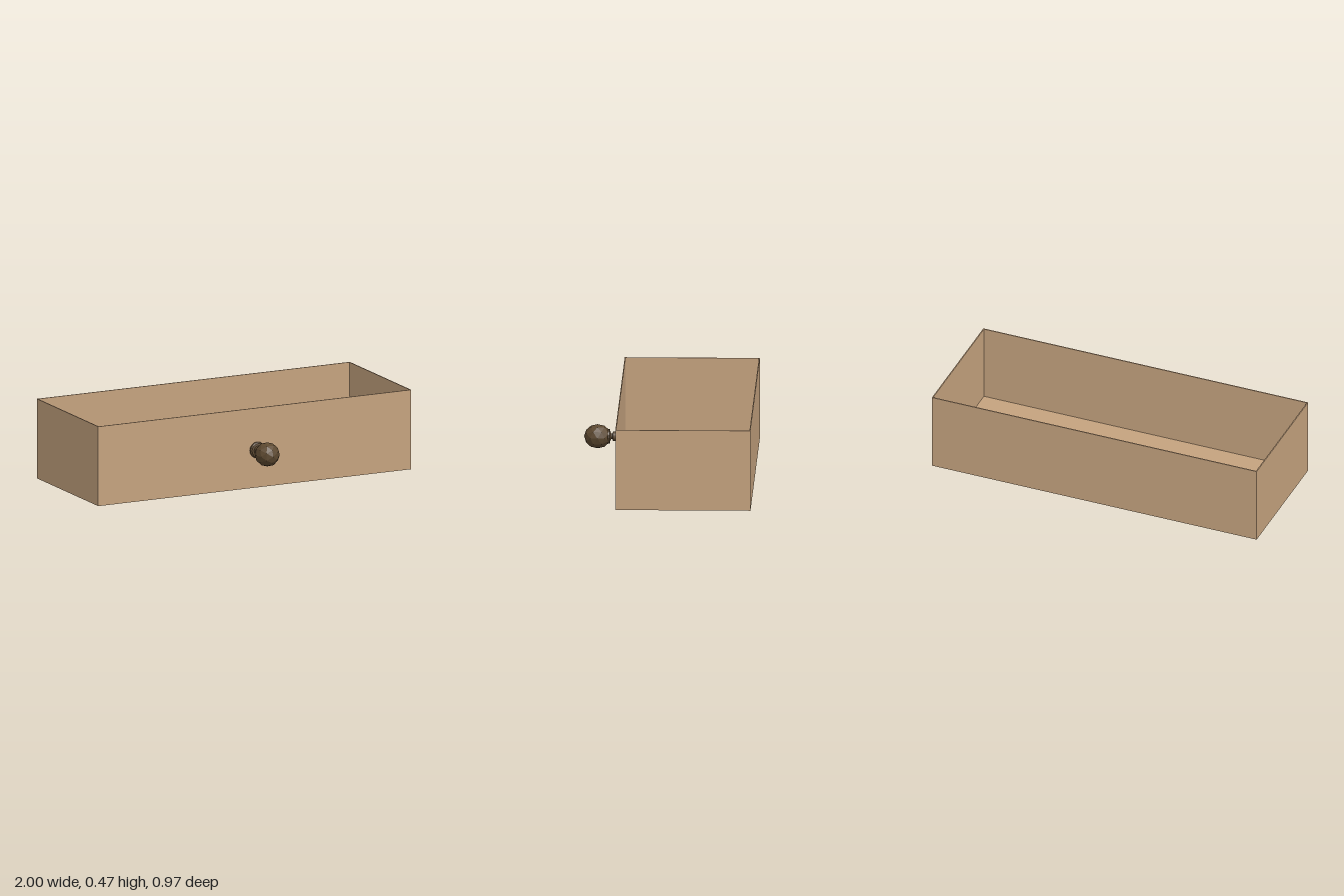
import * as THREE from 'three';

export function createModel() {
  const model = new THREE.Group();
  model.name = 'drawer';
  const wood = new THREE.MeshStandardMaterial({ color: 0xc4a27e });
  wood.name = 'light wood';
  const dark = new THREE.MeshStandardMaterial({ color: 0x5c4830, flatShading: true });
  dark.name = 'dark wood';

  const W = 2, H = 0.465, zBack = -0.487, zFront = 0.283, T = 0.006;
  const D = zFront - zBack, zMid = (zFront + zBack) / 2;

  const panel = (name, w, h, d, x, y, z) => {
    const mesh = new THREE.Mesh(new THREE.BoxGeometry(w, h, d), wood);
    mesh.name = name;
    mesh.position.set(x, y, z);
    model.add(mesh);
  };

  // Thin-walled open tray
  panel('frontPanel', W, H, T, 0, H / 2, zFront - T / 2);
  panel('backPanel', W, H, T, 0, H / 2, zBack + T / 2);
  panel('bottomPanel', W - 2 * T, T, D - 2 * T, 0, T / 2, zMid);
  for (const [name, s] of [['leftPanel', 1], ['rightPanel', -1]]) {
    panel(name, T, H, D - 2 * T, s * (W / 2 - T / 2), H / 2, zMid);
  }

  // Turned knob on the front, its axis pointing forward
  const knob = new THREE.Group();
  knob.name = 'knob';
  knob.position.set(0.015, 0.22, zFront);
  model.add(knob);

  // Foot, collar, neck and cup: [radius, distance from the panel]
  const profile = [
    [0, 0], [0.047, 0], [0.047, 0.009], [0.04, 0.016], [0.028, 0.018], [0.028, 0.04],
    [0.017, 0.042], [0.017, 0.05], [0.028, 0.055], [0.042, 0.058], [0.043, 0.066],
    [0.036, 0.074], [0, 0.074],
  ].map(([r, y]) => new THREE.Vector2(r, y));
  const stem = new THREE.Mesh(new THREE.LatheGeometry(profile, 16), dark);
  stem.name = 'knobStem';
  stem.rotation.x = Math.PI / 2;
  knob.add(stem);

  // Faceted ball
  const ball = new THREE.Mesh(new THREE.IcosahedronGeometry(1, 1), dark);
  ball.name = 'knobBall';
  ball.scale.set(0.07, 0.07, 0.077);
  ball.position.z = 0.127;
  knob.add(ball);

  return model;
}
